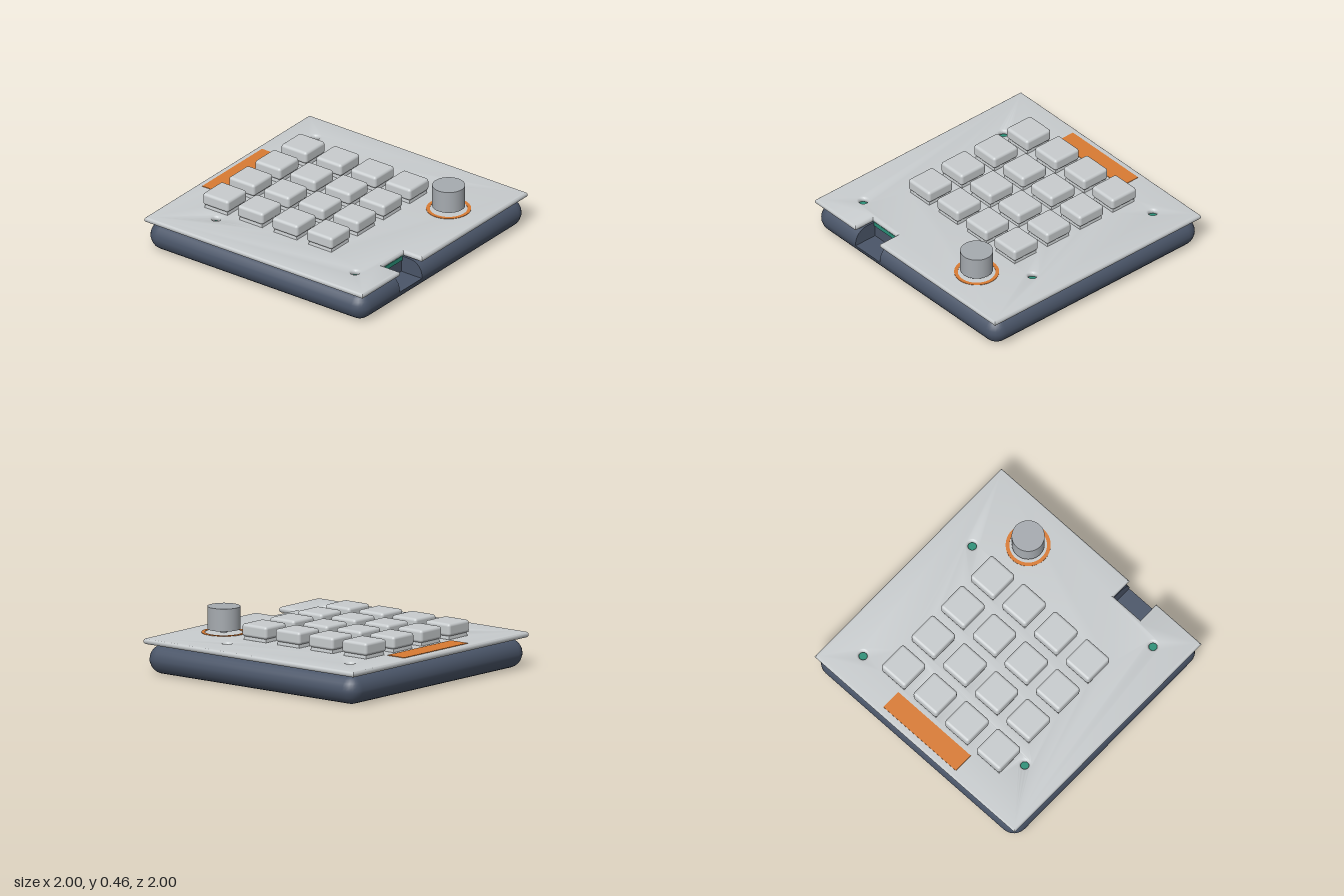
import * as THREE from 'three';
import { toCreasedNormals } from 'three/addons/utils/BufferGeometryUtils.js';
import { RoundedBoxGeometry } from 'three/addons/geometries/RoundedBoxGeometry.js';

const NOTCH = { x0: -0.55, x1: -0.28, plateZ: 0.83, baseZ: 0.81 };
const KEY_X = [-0.503, -0.187, 0.13, 0.447];
const KEY_Z = [-0.64, -0.322, -0.005, 0.312];
const SCREWS = [[-0.7, -0.57], [0.745, -0.755], [0.745, 0.415], [-0.755, 0.745]];
const KNOB = [0.447, 0.695];

function material(name, color) {
  const m = new THREE.MeshStandardMaterial({ color });
  m.name = name;
  return m;
}

// Outline of the case at one height: rounded square with an optional front notch
function caseRing(half, radius, notched) {
  const pts = [];
  const corner = (sx, sz, start) => {
    for (let i = 0; i <= 6; i++) {
      const a = start + (i / 6) * Math.PI / 2;
      pts.push(new THREE.Vector2(
        sx * (half - radius) + radius * Math.cos(a),
        sz * (half - radius) + radius * Math.sin(a)));
    }
  };
  corner(1, 1, 0);
  const back = notched ? NOTCH.baseZ : half;
  pts.push(new THREE.Vector2(NOTCH.x1, half), new THREE.Vector2(NOTCH.x1, back),
    new THREE.Vector2(NOTCH.x0, back), new THREE.Vector2(NOTCH.x0, half));
  corner(-1, 1, Math.PI / 2);
  corner(-1, -1, Math.PI);
  corner(1, -1, Math.PI * 1.5);
  return pts;
}

// Pillow-edged case, lofted upward; the doubled ring makes the notch floor
function caseGeometry() {
  const r = 0.109, floorAngle = -0.17;
  const rings = [];
  for (let i = -6; i <= 6; i++) {
    const a = i === -1 ? floorAngle : i * Math.PI / 12;
    const inset = r * (1 - Math.cos(a));
    const add = (notched) => rings.push({
      y: r + r * Math.sin(a), pts: caseRing(1 - inset, Math.max(r - inset, 0.0005), notched) });
    if (i <= -1) add(false);
    if (i >= -1) add(true);
  }
  const n = rings[0].pts.length, pos = [], idx = [];
  rings.forEach(({ y, pts }) => pts.forEach((p) => pos.push(p.x, y, p.y)));
  for (let k = 0; k < rings.length - 1; k++) {
    for (let i = 0; i < n; i++) {
      const a = k * n + i, b = k * n + (i + 1) % n;
      idx.push(a, a + n, b, b, a + n, b + n);
    }
  }
  const top = (rings.length - 1) * n;
  THREE.ShapeUtils.triangulateShape(rings[0].pts, []).forEach(([a, b, c]) => idx.push(a, b, c));
  THREE.ShapeUtils.triangulateShape(rings[rings.length - 1].pts, [])
    .forEach(([a, b, c]) => idx.push(top + a, top + c, top + b));
  const g = new THREE.BufferGeometry();
  g.setAttribute('position', new THREE.Float32BufferAttribute(pos, 3));
  g.setIndex(idx);
  return toCreasedNormals(g, 0.6);
}

// Cover plate with round edges, a front notch, key cutouts and countersunk holes
function plateGeometry() {
  const b = 0.02;
  const shape = new THREE.Shape([
    [-1, -1], [1, -1], [1, 1], [NOTCH.x1, 1], [NOTCH.x1, NOTCH.plateZ],
    [NOTCH.x0, NOTCH.plateZ], [NOTCH.x0, 1], [-1, 1],
  ].map(([x, z]) => new THREE.Vector2(x, z)));
  const h = 0.118 - b;
  for (const x of KEY_X) for (const z of KEY_Z) {
    shape.holes.push(new THREE.Path([[-h, -h], [-h, h], [h, h], [h, -h]]
      .map(([dx, dz]) => new THREE.Vector2(x + dx, z + dz))));
  }
  for (const [x, z] of SCREWS) {
    shape.holes.push(new THREE.Path().absarc(x, z, 0.031, 0, Math.PI * 2, true));
  }
  const g = new THREE.ExtrudeGeometry(shape, {
    depth: 0.005, bevelThickness: b, bevelSize: b, bevelOffset: -b, bevelSegments: 4, curveSegments: 12,
  });
  g.rotateX(Math.PI / 2).translate(0, 0.245, 0);
  return toCreasedNormals(g, 0.6);
}

export function createModel() {
  const model = new THREE.Group();
  model.name = 'keypad';
  const lightGrey = material('light grey', 0xc8ccce);
  const slate = material('slate', 0x4a5568);
  const orange = material('orange', 0xd97b33);
  const teal = material('teal', 0x2a9078);
  const metal = material('knob grey', 0xa6abb0);

  const add = (parent, name, geometry, mat, x = 0, y = 0, z = 0) => {
    const mesh = new THREE.Mesh(geometry, mat);
    mesh.name = name;
    mesh.position.set(x, y, z);
    parent.add(mesh);
    return mesh;
  };

  // Body layers
  add(model, 'case', caseGeometry(), slate);
  add(model, 'circuitBoard', new THREE.BoxGeometry(1.7, 0.034, 1.67), teal, 0, 0.202, -0.015);
  add(model, 'coverPlate', plateGeometry(), lightGrey);

  // Keys: rounded cap on a tapered switch housing
  const cap = new RoundedBoxGeometry(0.236, 0.095, 0.236, 3, 0.022);
  const housing = new THREE.CylinderGeometry(0.1 * Math.SQRT2, 0.112 * Math.SQRT2, 0.075, 4, 1)
    .rotateY(Math.PI / 4).toNonIndexed();
  housing.computeVertexNormals();
  for (const z of KEY_Z) for (const x of KEY_X) {
    const key = new THREE.Group();
    key.name = 'key';
    key.position.set(x, 0, z);
    add(key, 'keycap', cap, lightGrey, 0, 0.333, 0);
    add(key, 'switchHousing', housing, lightGrey, 0, 0.255, 0);
    model.add(key);
  }

  // Display panel at the back
  add(model, 'displayPanel', new THREE.BoxGeometry(0.725, 0.006, 0.16), orange, -0.003, 0.266, -0.87);

  // Rotary knob with its painted ring
  const ring = new THREE.Shape().absarc(0, 0, 0.165, 0, Math.PI * 2, false);
  ring.holes.push(new THREE.Path().absarc(0, 0, 0.138, 0, Math.PI * 2, true));
  const ringGeo = new THREE.ExtrudeGeometry(ring, { depth: 0.004, bevelEnabled: false, curveSegments: 32 })
    .rotateX(-Math.PI / 2);
  add(model, 'knobRing', ringGeo, orange, KNOB[0], 0.264, KNOB[1]);
  add(model, 'knobShaft', new THREE.CylinderGeometry(0.025, 0.025, 0.05, 16), metal, KNOB[0], 0.275, KNOB[1]);
  add(model, 'knob', new THREE.CylinderGeometry(0.121, 0.121, 0.168, 48), metal, KNOB[0], 0.376, KNOB[1]);

  return model;
}
